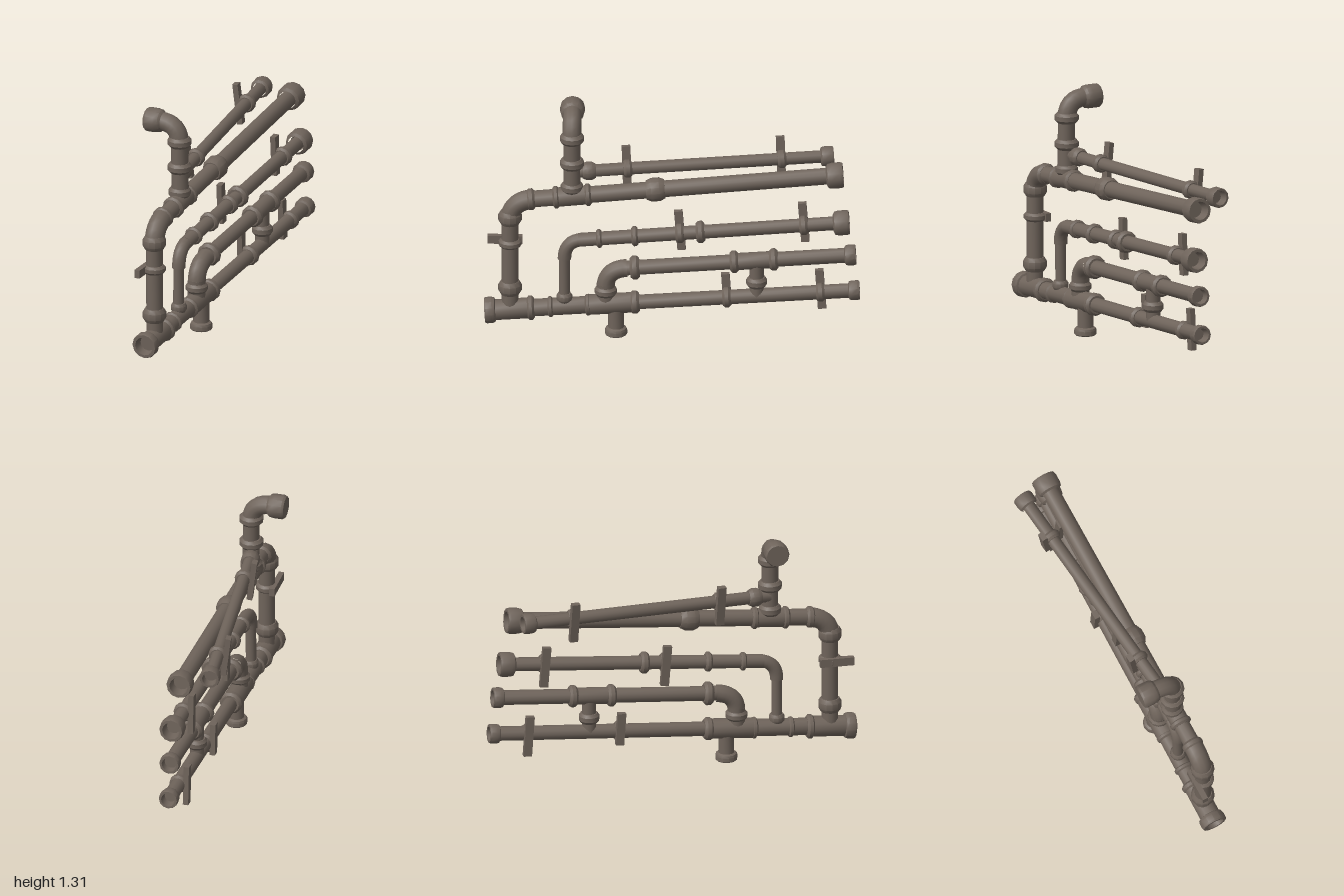
import * as THREE from 'three';
import { toCreasedNormals } from 'three/addons/utils/BufferGeometryUtils.js';

const V = (x, y, z) => new THREE.Vector3(x, y, z);
const UP = V(0, 1, 0);
const SIDES = 12;

export function createModel() {
  const model = new THREE.Group();
  const iron = new THREE.MeshStandardMaterial({ color: 0x6f645b });
  iron.name = 'weathered iron';

  const add = (name, geo, parent = model) => {
    const mesh = new THREE.Mesh(toCreasedNormals(geo, 0.6), iron);
    mesh.name = name;
    parent.add(mesh);
    return mesh;
  };
  // Revolved profile [radius, distance along dir], placed at a point
  const turned = (name, profile, at, dir) => {
    const geo = new THREE.LatheGeometry(profile.map(([r, h]) => new THREE.Vector2(r, h)), SIDES);
    const mesh = add(name, geo);
    mesh.position.copy(at);
    mesh.quaternion.setFromUnitVectors(UP, dir);
    return mesh;
  };
  const pipe = (name, a, b, r, rEnd = r) => {
    const dir = b.clone().sub(a), len = dir.length();
    return turned(name, [[0, 0], [r, 0], [rEnd, len], [0, len]], a, dir.normalize());
  };
  // Bevelled ring around a pipe
  const collar = (name, at, dir, r, len) => {
    const h = len / 2, b = len * 0.28;
    return turned(name, [[0, -h], [r * 0.8, -h], [r, -h + b], [r, h - b], [r * 0.8, h], [0, h]], at, dir);
  };
  // Flared pipe end with an open mouth; "at" is the rim
  const socket = (name, at, dir, r, len) => turned(name, [
    [r * 0.7, -len], [r * 0.93, -len * 0.9], [r, -len * 0.65], [r, -len * 0.15], [r * 0.94, 0],
    [r * 0.72, 0], [r * 0.6, -len * 0.8], [0, -len * 0.8],
  ], at, dir);
  // Flared pipe end with a flat cap
  const cappedEnd = (name, at, dir, r, len) => turned(name, [
    [r * 0.7, -len], [r * 0.93, -len * 0.85], [r, -len * 0.6], [r, -len * 0.12], [r * 0.9, 0], [0, 0],
  ], at, dir);
  const elbow = (name, a, corner, b, r) =>
    add(name, new THREE.TubeGeometry(new THREE.QuadraticBezierCurve3(a, corner, b), 8, r, SIDES));
  // Ring clamp with a flat bar on its right-hand side
  const clamp = (name, at, dir, r, barLength = 0.225, shift = 0) => {
    const group = new THREE.Group();
    group.name = name;
    group.position.copy(at);
    group.quaternion.setFromUnitVectors(UP, dir);
    const ring = collar('clampRing', V(0, 0, 0), UP, r, 0.045);
    group.add(ring);
    const bar = add('clampBar', new THREE.BoxGeometry(0.03, 0.045, barLength), group);
    bar.position.set(-0.045, 0, shift);
    model.add(group);
  };
  // A sloping run, addressed by z
  const run = (a, b) => ({
    dir: b.clone().sub(a).normalize(),
    at: (z) => a.clone().lerp(b, (z - a.z) / (b.z - a.z)),
  });
  // Build straight sections [z0, z1, radius], collars [z, radius, length], clamps [z, radius, bar, shift]
  const buildRun = (name, line, sections, collars, clamps = []) => {
    sections.forEach(([z0, z1, r]) => pipe(name + 'Pipe', line.at(z0), line.at(z1), r));
    collars.forEach(([z, r, len]) => collar(name + 'Collar', line.at(z), line.dir, r, len));
    clamps.forEach(([z, r, bar, shift]) => clamp(name + 'Clamp', line.at(z), line.dir, r, bar, shift));
  };

  // Bottom run
  const bottom = run(V(0.083, 0.132, 1), V(0.085, 0.27, -1));
  buildRun('bottom', bottom,
    [[0.95, 0.75, 0.056], [0.75, 0.42, 0.047], [0.45, 0.2, 0.055], [0.2, -0.95, 0.039]],
    [[0.755, 0.066, 0.04], [0.65, 0.056, 0.03], [0.45, 0.058, 0.03], [0.2, 0.062, 0.05]],
    [[-0.29, 0.055, 0.18, 0.03], [-0.79, 0.05]]);
  socket('bottomFrontMouth', bottom.at(1), bottom.dir.clone().negate(), 0.071, 0.06);
  socket('bottomBackMouth', bottom.at(-0.998), bottom.dir, 0.053, 0.06);

  // Foot stub
  pipe('footPipe', V(0.085, 0.18, 0.3), V(0.085, 0.02, 0.3), 0.043);
  cappedEnd('footFlange', V(0.085, 0, 0.3), V(0, -1, 0), 0.06, 0.045);

  // Lower middle run, rising from the bottom run
  const lower = run(V(0.085, 0.38, 0.355), V(0.085, 0.477, -0.98));
  pipe('lowerRiser', bottom.at(0.355), V(0.085, 0.3, 0.355), 0.048);
  collar('lowerRiserCollar', V(0.085, 0.255, 0.355), UP, 0.06, 0.05);
  elbow('lowerElbow', V(0.085, 0.28, 0.355), lower.at(0.355), lower.at(0.24), 0.048);
  buildRun('lower', lower, [[0.25, -0.94, 0.04], [-0.33, -0.54, 0.046]],
    [[0.2, 0.064, 0.05], [-0.33, 0.06, 0.045], [-0.54, 0.06, 0.045]]);
  socket('lowerBackMouth', lower.at(-0.978), lower.dir, 0.056, 0.06);

  // Short link between the two lowest runs
  pipe('linkPipe', bottom.at(-0.45), lower.at(-0.45), 0.038);
  collar('linkCollar', V(0.085, 0.315, -0.45), UP, 0.056, 0.055);

  // Upper middle run
  const middle = run(V(0.085, 0.545, 0.575), V(0.085, 0.667, -0.945));
  pipe('middleRiser', bottom.at(0.575), V(0.085, 0.46, 0.575), 0.029);
  collar('middleRiserCollar', V(0.085, 0.215, 0.575), UP, 0.043, 0.05);
  elbow('middleElbow', V(0.085, 0.44, 0.575), middle.at(0.575), middle.at(0.48), 0.036);
  buildRun('middle', middle, [[0.5, -0.89, 0.037]],
    [[0.39, 0.05, 0.03], [0.2, 0.054, 0.035], [-0.15, 0.06, 0.045]],
    [[-0.04, 0.053], [-0.7, 0.053]]);
  socket('middleBackMouth', middle.at(-0.943), middle.dir, 0.067, 0.085);

  // Front riser up to the large top run
  const top = run(V(0.08, 0.775, 0.865), V(0.052, 0.93, -0.91));
  pipe('frontRiser', bottom.at(0.865), V(0.08, 0.7, 0.865), 0.045);
  collar('frontRiserCollar', V(0.081, 0.27, 0.865), UP, 0.063, 0.075);
  collar('frontRiserCollar', V(0.08, 0.68, 0.865), UP, 0.063, 0.075);
  clamp('frontRiserClamp', V(0.08, 0.53, 0.865), UP, 0.062, 0.185, 0.028);
  elbow('topElbow', V(0.08, 0.66, 0.865), top.at(0.865), top.at(0.74), 0.053);
  buildRun('top', top, [[0.76, -0.85, 0.045], [0.61, 0.45, 0.052]],
    [[0.755, 0.058, 0.045], [0.62, 0.06, 0.035], [0.45, 0.06, 0.035], [0.09, 0.064, 0.1]]);
  socket('topBackMouth', top.at(-0.91), top.dir, 0.07, 0.09);

  // Outlet standing on the top run and turning to the right
  pipe('outletRiser', top.at(0.535), V(0.07, 1.16, 0.535), 0.046);
  [[0.855, 0.06], [0.995, 0.065], [1.14, 0.065]].forEach(([y, r]) =>
    collar('outletCollar', V(0.07, y, 0.535), UP, r, 0.055));
  elbow('outletElbow', V(0.07, 1.13, 0.535), V(0.07, 1.24, 0.535), V(-0.04, 1.24, 0.535), 0.05);
  cappedEnd('outletHead', V(-0.122, 1.24, 0.535), V(-1, 0, 0), 0.066, 0.1);

  // Thin run slanting away from the outlet
  const slant = run(V(0.058, 0.938, 0.53), V(-0.103, 0.97, -0.855));
  buildRun('slant', slant, [[0.53, -0.81, 0.034]], [[0.445, 0.05, 0.07]],
    [[0.24, 0.05], [-0.58, 0.05]]);
  socket('slantBackMouth', slant.at(-0.855), slant.dir, 0.055, 0.07);

  return model;
}
